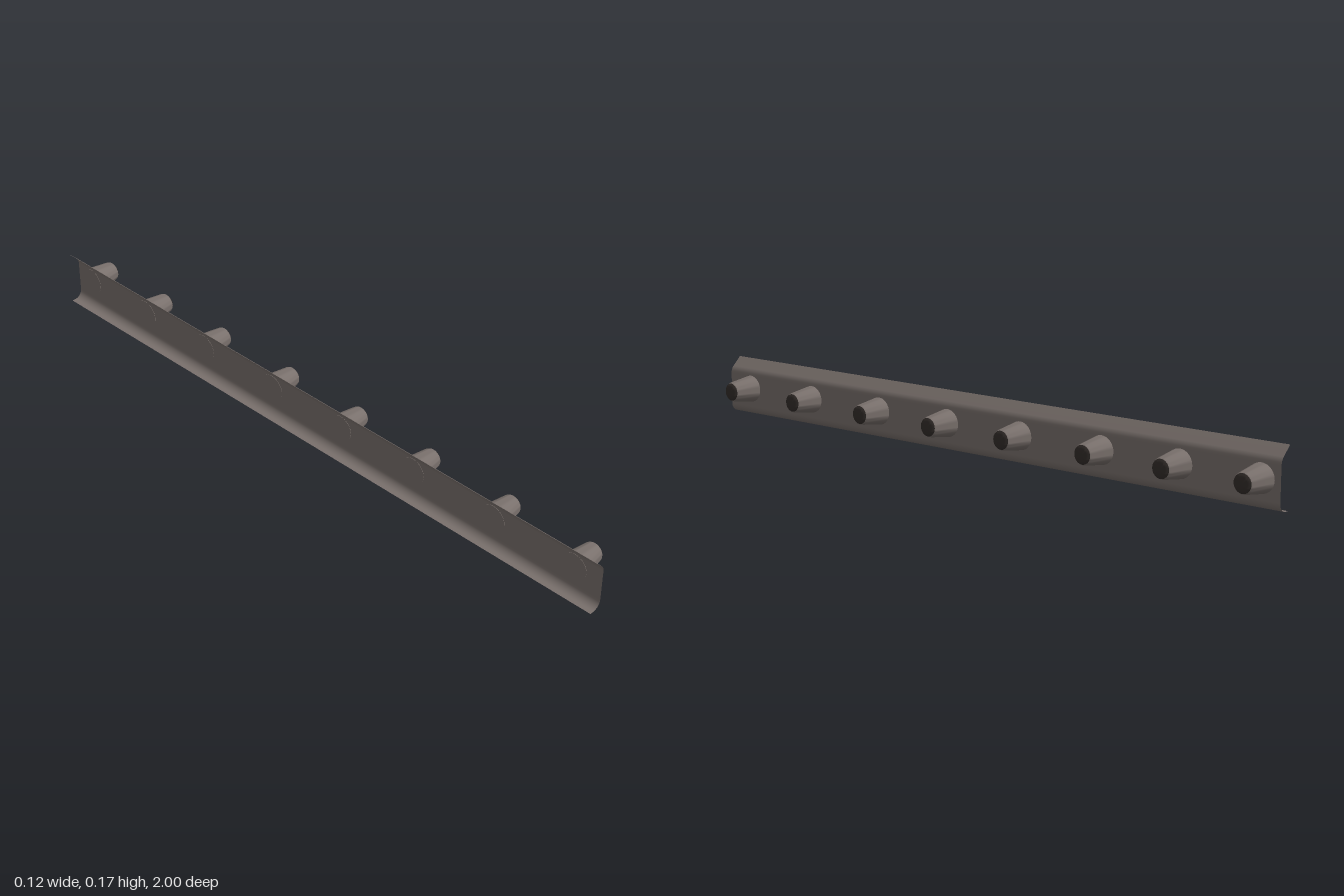
import * as THREE from 'three';
import { toCreasedNormals } from 'three/addons/utils/BufferGeometryUtils.js';

const PEG_Y = 0.081;
const FACE_X = -0.025;
const PEG_Z = [0.911, 0.644, 0.366, 0.1, -0.166, -0.445, -0.696, -0.942];

// Peg sections as [radius, height above the rail face]
const BODY = [[0, -0.001], [0.04, -0.001], [0.0298, 0.071], [0.0285, 0.077], [0.0262, 0.0812]];
const TIP = [[0.0262, 0.0812], [0.0225, 0.0845], [0.0175, 0.0862], [0, 0.0862]];

// Rail section from the top flange down to the bottom lip, as [x, y]
function railProfile() {
  const pts = [[-0.061, 0.168]];
  const arc = (cx, cy, r, from, to, n) => {
    for (let i = 0; i <= n; i++) {
      const a = THREE.MathUtils.degToRad(from + ((to - from) * i) / n);
      pts.push([cx + r * Math.cos(a), cy + r * Math.sin(a)]);
    }
  };
  arc(FACE_X - 0.03, 0.12, 0.03, 45, 0, 8);
  arc(FACE_X - 0.025, 0.025, 0.025, 0, -90, 10);
  pts.push([-0.061, 0]);
  return pts;
}

// Open sheet: each row of a plane follows one point of the section
function railGeometry() {
  const profile = railProfile();
  const geo = new THREE.PlaneGeometry(2, 1, 1, profile.length - 1);
  const pos = geo.attributes.position;
  for (let i = 0; i < pos.count; i++) {
    const [x, y] = profile[Math.floor(i / 2)];
    pos.setXYZ(i, x, y, -pos.getX(i));
  }
  geo.computeVertexNormals();
  return geo;
}

// Turned shape pointing along +x
function turned(profile) {
  const geo = new THREE.LatheGeometry(profile.map(([r, h]) => new THREE.Vector2(r, h)), 32);
  geo.rotateZ(-Math.PI / 2);
  return toCreasedNormals(geo, Math.PI / 5);
}

function material(name, color) {
  const mat = new THREE.MeshStandardMaterial({ color, side: THREE.DoubleSide });
  mat.name = name;
  return mat;
}

export function createModel() {
  const model = new THREE.Group();
  model.name = 'pegRail';

  const grey = material('warm grey', 0x79706c);
  const dark = material('dark brown', 0x332d2a);

  const add = (parent, name, geo, mat) => {
    const mesh = new THREE.Mesh(geo, mat);
    mesh.name = name;
    parent.add(mesh);
  };

  add(model, 'rail', railGeometry(), grey);

  // Row of pegs with dark tips along the rail face
  const bodyGeo = turned(BODY);
  const tipGeo = turned(TIP);
  PEG_Z.forEach((z, i) => {
    const peg = new THREE.Group();
    peg.name = `peg${i + 1}`;
    peg.position.set(FACE_X, PEG_Y, z);
    add(peg, 'pegBody', bodyGeo, grey);
    add(peg, 'pegTip', tipGeo, dark);
    model.add(peg);
  });

  return model;
}
